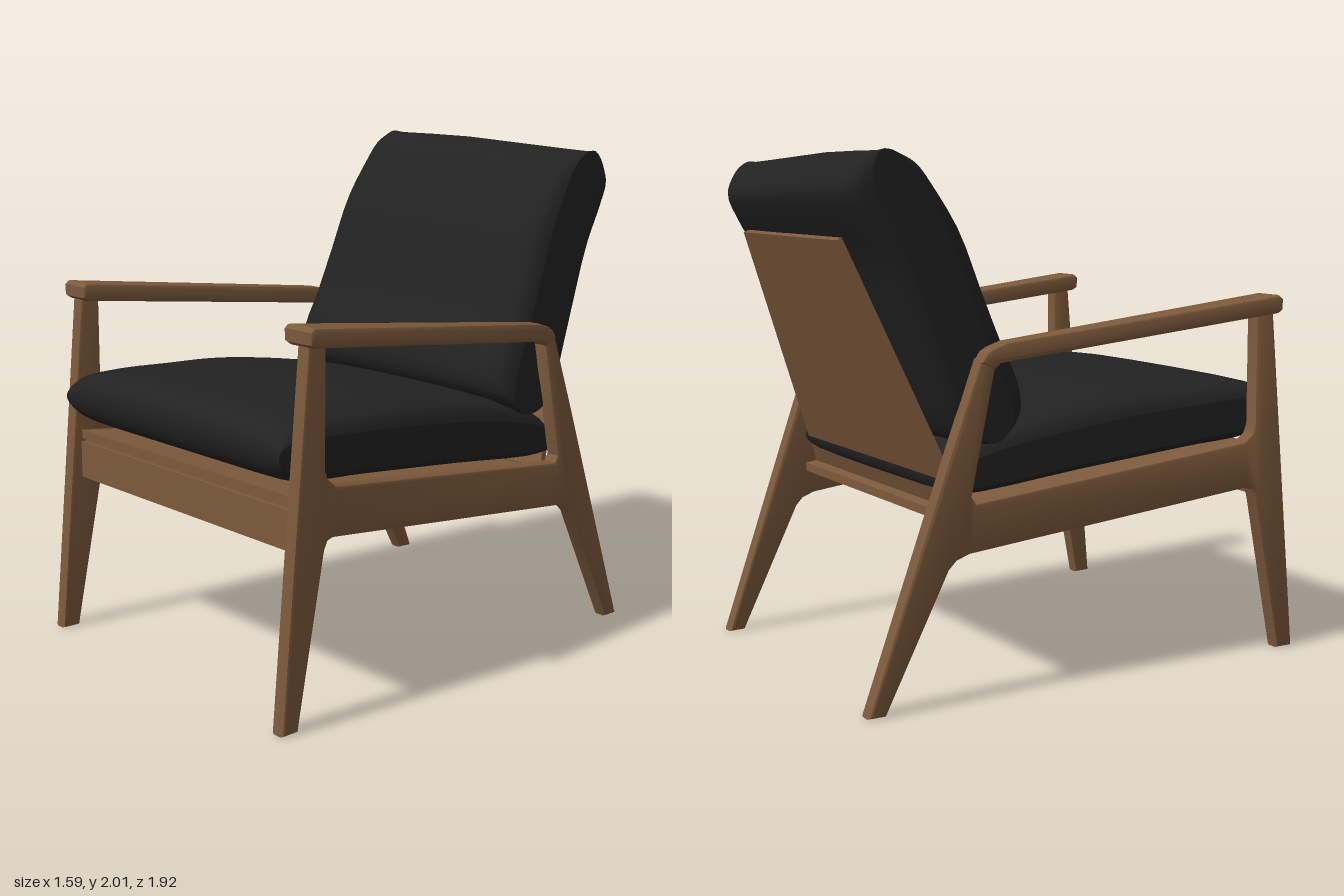
import * as THREE from 'three';
import { toCreasedNormals } from 'three/addons/utils/BufferGeometryUtils.js';

const wood = new THREE.MeshStandardMaterial({ color: 0x7d5a3c });
wood.name = 'walnut wood';
const leather = new THREE.MeshStandardMaterial({ color: 0x222222 });
leather.name = 'black leather';

// Move every vertex of a geometry by a rule
function warp(geo, rule) {
  const p = geo.attributes.position;
  const v = new THREE.Vector3();
  for (let i = 0; i < p.count; i++) {
    rule(v.fromBufferAttribute(p, i));
    p.setXYZ(i, v.x, v.y, v.z);
  }
  geo.computeVertexNormals();
  return geo;
}

// Extrude a [z, y] side outline across x, centred on x = 0
function sideExtrude(points, width, bevel) {
  const shape = new THREE.Shape(points.map(([z, y]) => new THREE.Vector2(-z, y)));
  const geo = new THREE.ExtrudeGeometry(shape, {
    depth: width - 2 * bevel, bevelEnabled: true, bevelThickness: bevel,
    bevelSize: bevel, bevelOffset: -bevel, bevelSegments: 2,
  });
  return geo.translate(0, 0, -(width / 2 - bevel)).rotateY(Math.PI / 2);
}

// Pillow: a [z, y] profile lofted along x, squashed towards an axis line near the ends
function pillow(profile, [az, ay], [dz, dy], place) {
  const curve = new THREE.CatmullRomCurve3(
    profile.map(([z, y]) => new THREE.Vector3(0, y, z)), true, 'centripetal');
  const loop = curve.getPoints(56).slice(0, -1);
  const len = Math.hypot(dz, dy);
  const nz = dy / len, ny = -dz / len;
  const stations = [[-1, 0.5], [-0.985, 0.66], [-0.95, 0.8], [-0.85, 0.91], [-0.6, 0.97], [-0.2, 1],
    [0.2, 1], [0.6, 0.97], [0.85, 0.91], [0.95, 0.8], [0.985, 0.66], [1, 0.5]];
  const pos = [], idx = [], n = loop.length;
  const section = (t, s) => loop.map((p) => {
    const v = (p.z - az) * nz + (p.y - ay) * ny;
    return place(new THREE.Vector3(t, p.y - ny * v * (1 - s), p.z - nz * v * (1 - s)));
  });
  stations.forEach(([t, s], i) => {
    section(t, s).forEach((p) => pos.push(p.x, p.y, p.z));
    if (i === 0) return;
    for (let j = 0; j < n; j++) {
      const k = (j + 1) % n, a = (i - 1) * n, b = i * n;
      idx.push(a + j, b + j, a + k, a + k, b + j, b + k);
    }
  });
  // End caps
  for (const t of [-1, 1]) {
    const ring = section(t, 0.5);
    const base = pos.length / 3;
    const mid = ring.reduce((m, p) => m.add(p), new THREE.Vector3()).divideScalar(n);
    [...ring, mid].forEach((p) => pos.push(p.x, p.y, p.z));
    for (let j = 0; j < n; j++) {
      const k = (j + 1) % n;
      idx.push(base + n, base + (t > 0 ? k : j), base + (t > 0 ? j : k));
    }
  }
  const geo = new THREE.BufferGeometry();
  geo.setAttribute('position', new THREE.Float32BufferAttribute(pos, 3));
  geo.setIndex(idx);
  geo.computeVertexNormals();
  return geo;
}

export function createModel() {
  const chair = new THREE.Group();
  chair.name = 'loungeChair';
  const add = (name, geo, mat) => {
    const mesh = new THREE.Mesh(geo, mat);
    mesh.name = name;
    chair.add(mesh);
  };

  // Side frames (legs and rail in one outline) and armrests, splayed towards the front
  const frame = [[0.965, 0], [0.83, 1.4], [0.75, 1.39], [0.753, 0.93], [0.74, 0.895], [0.7, 0.865],
    [-0.495, 0.74], [-0.512, 0.765], [-0.415, 1.235], [-0.43, 1.28], [-0.475, 1.262],
    [-0.595, 0.94], [-0.93, 0], [-0.86, 0], [-0.605, 0.505], [-0.575, 0.535], [-0.52, 0.555],
    [0.72, 0.68], [0.745, 0.672], [0.76, 0.64], [0.89, 0]];
  const arm = [[0.85, 1.385], [0.852, 1.43], [0.835, 1.445], [-0.37, 1.32], [-0.43, 1.3],
    [-0.455, 1.285], [-0.478, 1.25], [-0.42, 1.225], [-0.395, 1.245], [0.83, 1.372]];
  for (const side of [-1, 1]) {
    const label = side > 0 ? 'left' : 'right';
    add(label + 'SideFrame', toCreasedNormals(warp(sideExtrude(frame, 0.066, 0.014),
      (v) => { v.x += side * (0.687 + 0.046 * v.z); }), 0.6), wood);
    add(label + 'Armrest', toCreasedNormals(warp(sideExtrude(arm, 0.1, 0.014), (v) => {
      const width = 0.07 + 0.087 * (v.z + 0.47) / 1.32;
      v.x = v.x / 0.1 * width + side * (0.687 + 0.036 * v.z);
    }), 0.6), wood);
  }

  // Front rail, recessed strip and sloping seat board
  add('frontRail', new THREE.BoxGeometry(1.39, 0.15, 0.05).translate(0, 0.712, 0.83), wood);
  add('railStrip', new THREE.BoxGeometry(1.38, 0.03, 0.03).translate(0, 0.793, 0.82), wood);
  add('seatBoard', warp(new THREE.BoxGeometry(2, 0.035, 1.41).translate(0, 0.818, 0.145), (v) => {
    v.x *= 0.655 + 0.046 * v.z;
    v.y += 0.104 * (v.z - 0.85);
  }), wood);

  // Tapered back panel leaning backwards
  add('backPanel', warp(new THREE.BoxGeometry(2, 1.066, 0.025), (v) => {
    v.x *= 0.52 - 0.2 * v.y / 1.066;
  }).rotateX(-0.38).translate(0, 1.195, -0.7), wood);

  // Seat cushion, wider at the front with slightly forward corners
  const seat = [[0.912, 0.97], [0.905, 1.04], [0.86, 1.085], [0.76, 1.105], [0.5, 1.105], [0.25, 1.1],
    [-0.1, 1.055], [-0.35, 1.0], [-0.5, 0.93], [-0.56, 0.83], [-0.54, 0.76], [-0.47, 0.745],
    [0, 0.79], [0.5, 0.835], [0.8, 0.86], [0.88, 0.9]];
  add('seatCushion', pillow(seat, [0, 0.87], [1, 0.11], (v) => {
    v.z += 0.025 * (v.x * v.x - 1) * Math.max(0, v.z);
    v.x *= 0.652 + 0.046 * v.z;
    return v;
  }), leather);

  // Back cushion, narrowing upwards, its top edge dipping to one side
  const back = [[-0.225, 1.06], [-0.228, 1.17], [-0.3, 1.32], [-0.38, 1.51], [-0.47, 1.73], [-0.585, 1.89],
    [-0.65, 1.96], [-0.72, 1.99], [-0.8, 2.0], [-0.88, 1.98], [-0.94, 1.91], [-0.96, 1.85],
    [-0.92, 1.76], [-0.82, 1.59], [-0.7, 1.28], [-0.575, 0.98], [-0.5, 0.945], [-0.4, 0.94], [-0.3, 0.985]];
  add('backCushion', pillow(back, [-0.585, 1.5], [-0.38, 1], (v) => {
    const h = v.y - 0.95;
    v.x = v.x * (0.65 - 0.055 * h) - 0.015 * h;
    v.y -= 0.05 * Math.max(0, v.x + 0.2) * h;
    return v;
  }), leather);

  return chair;
}
